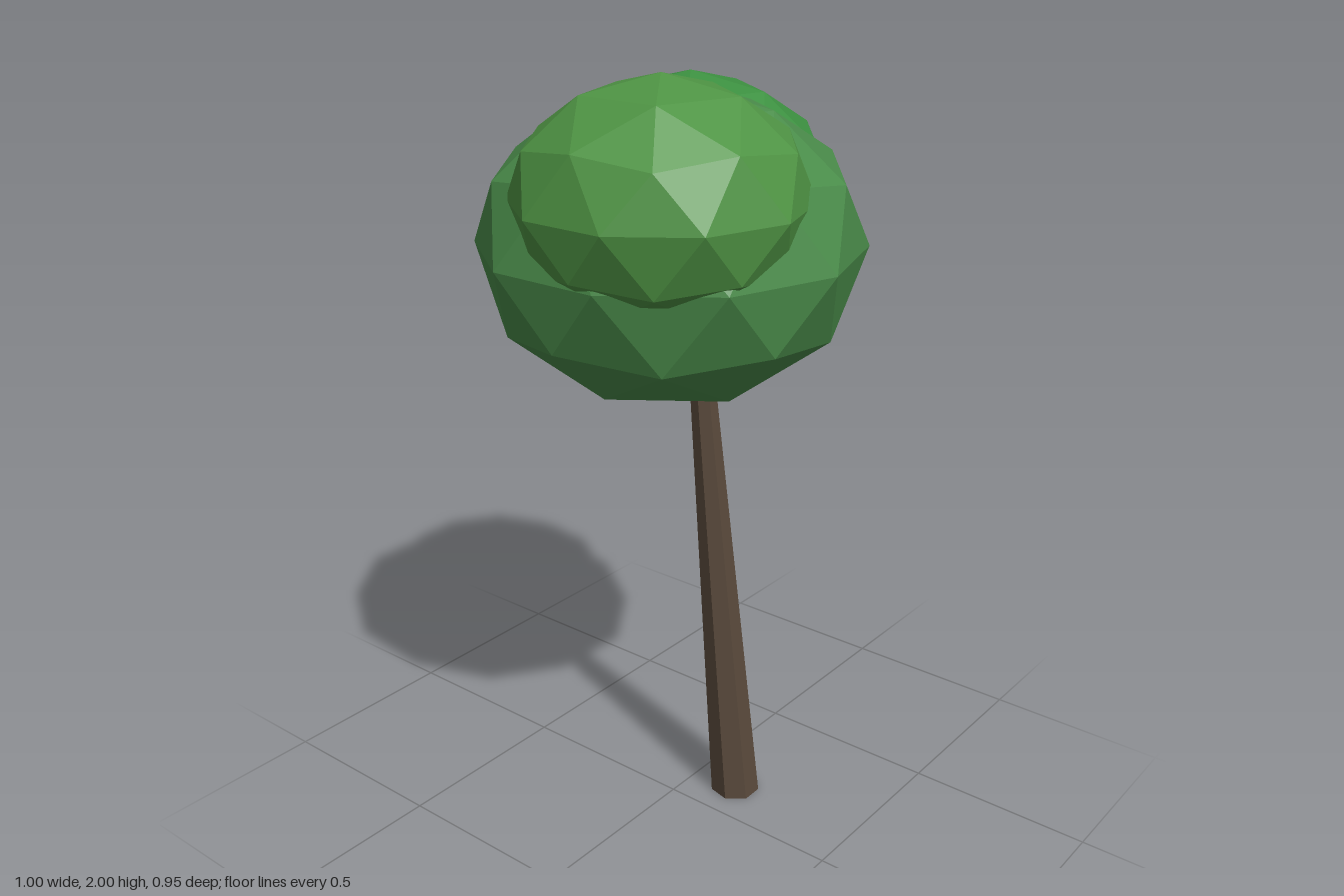
import * as THREE from 'three';

function part(name, geometry, color) {
  const material = new THREE.MeshStandardMaterial({ color, flatShading: true });
  const mesh = new THREE.Mesh(geometry, material);
  mesh.name = name;
  return mesh;
}

// Faceted leaf ball: a slightly flattened icosphere standing on one of its corners
function leafBall(name, color, radius, height, [x, y, z]) {
  const geometry = new THREE.IcosahedronGeometry(1, 1);
  geometry.rotateZ(-Math.atan(2 / (1 + Math.sqrt(5))));
  geometry.scale(radius, height, radius);
  geometry.computeVertexNormals();
  geometry.translate(x, y, z);
  return part(name, geometry, color);
}

// Tapered seven-sided trunk, leaning while both ends stay level
function leaningTrunk() {
  const height = 1.26;
  const geometry = new THREE.CylinderGeometry(0.032, 0.067, height, 7, 1, false, Math.PI);
  geometry.translate(0, height / 2, 0);
  const p = geometry.attributes.position;
  for (let i = 0; i < p.count; i++) {
    const y = p.getY(i);
    p.setXYZ(i, p.getX(i) + 0.122 - 0.069 * y, y, p.getZ(i) + 0.125 - 0.051 * y);
  }
  geometry.computeVertexNormals();
  return part('trunk', geometry, 0x5a4a3c);
}

export function createModel() {
  const tree = new THREE.Group();
  tree.name = 'tree';
  tree.add(
    leaningTrunk(),
    leafBall('mainCanopy', 0x4a8c4a, 0.473, 0.384, [-0.01, 1.575, 0]),
    leafBall('rightCanopy', 0x4f9444, 0.35, 0.28, [-0.168, 1.72, 0.1]),
    leafBall('leftCanopy', 0x3c9040, 0.355, 0.284, [0.162, 1.67, -0.077]),
  );
  return tree;
}
